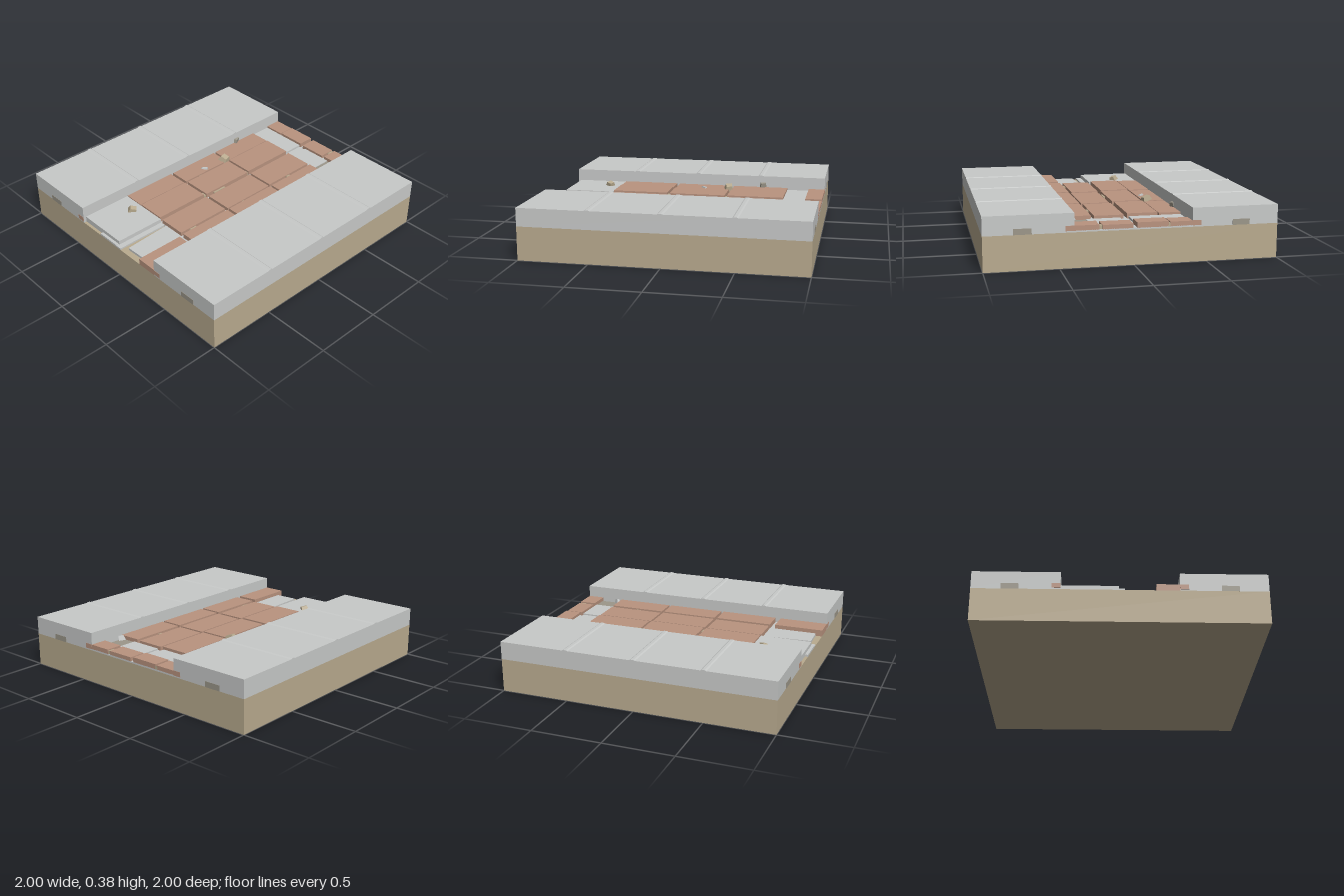
import * as THREE from 'three';

export function createModel() {
  const root = new THREE.Group();
  const mat = (name, color) => {
    const m = new THREE.MeshStandardMaterial({ color });
    m.name = name;
    return m;
  };
  const earth = mat('earth', 0xb9ab8f);
  const concrete = mat('concrete', 0xc8cac9);
  const brick = mat('terracotta', 0xb9937f);
  const taupe = mat('dark stone', 0x9c978a);

  // Axis-aligned block given by its limits
  const block = (name, m, x0, x1, y0, y1, z0, z1, parent = root) => {
    const mesh = new THREE.Mesh(new THREE.BoxGeometry(x1 - x0, y1 - y0, z1 - z0), m);
    mesh.position.set((x0 + x1) / 2, (y0 + y1) / 2, (z0 + z1) / 2);
    mesh.name = name;
    parent.add(mesh);
    return mesh;
  };

  // Earth base and mortar bed in the channel
  block('groundBase', earth, -1, 1, 0, 0.24, -1, 1);
  block('mortarBed', concrete, -0.6, 1, 0.24, 0.252, -0.4, 0.4);
  block('mortarBedCorner', concrete, -0.64, -0.6, 0.24, 0.252, 0.24, 0.4);
  block('mortarBedCentre', concrete, -1, -0.6, 0.24, 0.252, -0.02, 0.03);

  // Raised pavements, with a low ridge at each slab joint
  const profile = new THREE.Shape();
  profile.moveTo(-1, 0.24);
  profile.lineTo(1, 0.24);
  profile.lineTo(1, 0.37);
  for (const x of [0.5, 0, -0.5]) {
    profile.lineTo(x + 0.02, 0.37);
    profile.lineTo(x + 0.01, 0.375);
    profile.lineTo(x - 0.01, 0.375);
    profile.lineTo(x - 0.02, 0.37);
  }
  profile.lineTo(-1, 0.37);
  for (const side of [-1, 1]) {
    const geo = new THREE.ExtrudeGeometry(profile, { depth: 0.6, bevelEnabled: false });
    const kerb = new THREE.Mesh(geo, concrete);
    kerb.position.z = side > 0 ? 0.4 : -1;
    kerb.name = side > 0 ? 'frontPavement' : 'backPavement';
    root.add(kerb);
    // Dark stone and terracotta ends showing in the cut sides
    for (const x of [-1, 1]) {
      block('buriedStoneEnd', taupe, x - 0.002, x + 0.002, 0.24, 0.28, side * 0.74 - 0.06, side * 0.74 + 0.06);
      block('buriedBrickEnd', brick, x - 0.002, x + 0.002, 0.25, 0.285, side * 0.43 - 0.03, side * 0.43 + 0.03);
    }
  }

  // Terracotta pavers in four rows: [back z, front z, top]
  const pavers = new THREE.Group();
  pavers.name = 'pavers';
  root.add(pavers);
  const rows = [[-0.4, -0.245, 0.285], [-0.235, -0.02, 0.29], [0.005, 0.212, 0.283], [0.235, 0.4, 0.287]];
  const columns = [[-0.597, -0.175], [-0.153, 0.27], [0.288, 0.71], [0.877, 1]];
  rows.forEach(([z0, z1, top], r) => {
    columns.forEach(([x0, x1], c) => {
      const shift = c === 1 && r % 3 !== 0 ? 0.008 : 0;
      block('paver', brick, x0, x1, 0.25, top - c * 0.001, z0 + shift, z1 + shift, pavers);
    });
  });
  block('paver', brick, -1, -0.637, 0.24, 0.287, 0.242, 0.4, pavers);

  // Concrete patches replacing missing pavers
  block('backLeftSlab', concrete, -0.978, -0.6, 0.24, 0.282, -0.4, -0.01);
  block('backRightSlab', concrete, 0.71, 0.877, 0.25, 0.268, -0.4, -0.03);
  block('frontRightSlab', concrete, 0.71, 0.877, 0.25, 0.262, 0.03, 0.27);
  const patch = new THREE.Shape([
    [-0.957, -0.07], [-0.6, -0.05], [-0.6, -0.242], [-0.952, -0.242]
  ].reverse().map(([x, y]) => new THREE.Vector2(x, y)));
  const patchMesh = new THREE.Mesh(
    new THREE.ExtrudeGeometry(patch, { depth: 0.018, bevelEnabled: false }), concrete);
  patchMesh.rotation.x = -Math.PI / 2;
  patchMesh.position.y = 0.24;
  patchMesh.name = 'frontLeftSlab';
  root.add(patchMesh);
  block('leftEdgeStrip', concrete, -1, -0.978, 0.24, 0.255, -0.2, -0.02);

  // Dark stone seen at the bottom of the wide joints
  for (const [x0, x1, z0, z1] of [
    [0.71, 0.877, 0.27, 0.39], [-0.175, -0.153, 0.27, 0.39], [-0.175, -0.153, -0.39, -0.27]
  ]) block('jointStone', taupe, x0, x1, 0.25, 0.257, z0, z1);

  // Earth crumbs in the joints: [x, z, length, width]
  for (const [x, z, l, w] of [
    [-0.52, -0.24, 0.05, 0.02], [-0.01, -0.238, 0.035, 0.026], [0.5, -0.24, 0.1, 0.014],
    [0.99, -0.24, 0.02, 0.02], [-0.03, -0.008, 0.11, 0.02], [-0.49, 0.226, 0.06, 0.03],
    [0, 0.225, 0.02, 0.016], [0.483, 0.225, 0.035, 0.026], [0.97, 0.225, 0.05, 0.024],
    [-0.164, -0.04, 0.022, 0.04], [0.279, -0.035, 0.016, 0.03]
  ]) block('earthCrumb', earth, x - l / 2, x + l / 2, 0.25, 0.275, z - w / 2, z + w / 2);

  // Loose rubble: boxes with a narrowed, skewed top
  const stone = (m, x, y, z, w, h, d, turn, tilt) => {
    const geo = new THREE.BoxGeometry(w, h, d);
    const p = geo.attributes.position;
    for (let i = 0; i < p.count; i++) {
      if (p.getY(i) > 0) p.setXYZ(i, p.getX(i) * 0.75 + w * 0.1, p.getY(i), p.getZ(i) * 0.7);
    }
    geo.computeVertexNormals();
    const mesh = new THREE.Mesh(geo, m);
    mesh.position.set(x, y, z);
    mesh.rotation.set(tilt, turn, 0);
    mesh.name = 'rubble';
    root.add(mesh);
  };
  stone(earth, -0.685, 0.295, -0.232, 0.06, 0.035, 0.05, -0.7, 0.3);
  stone(earth, 0.262, 0.3, -0.266, 0.06, 0.035, 0.07, 0.25, 0.35);
  stone(concrete, 0.065, 0.289, -0.282, 0.055, 0.012, 0.018, -0.8, 0);
  stone(taupe, 0.515, 0.298, -0.4, 0.05, 0.04, 0.035, 0.4, 0.3);
  stone(concrete, 0.735, 0.275, 0.372, 0.05, 0.035, 0.025, -0.7, 0.2);
  return root;
}
